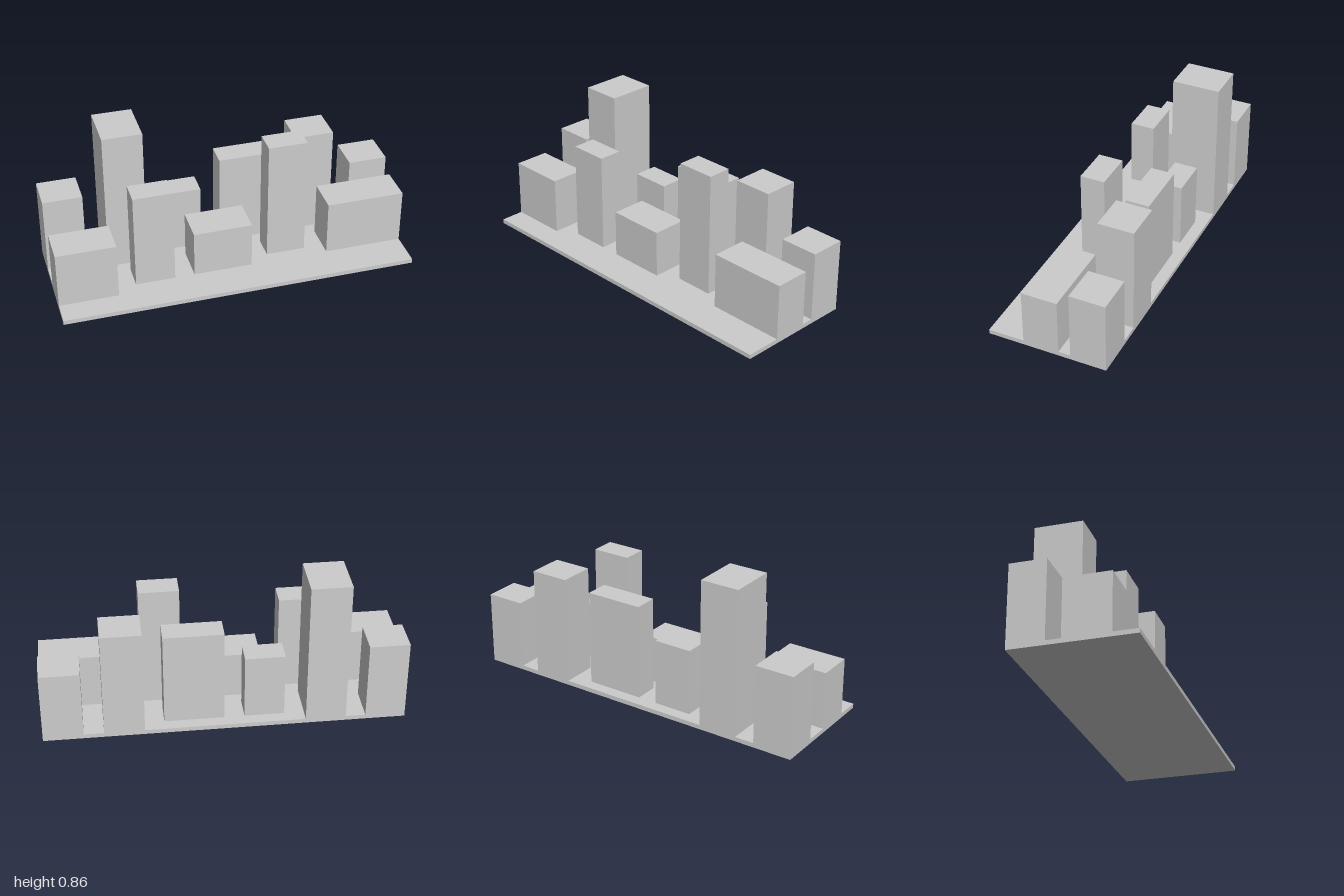
import * as THREE from 'three';

const BASE_TOP = 0.025;
const DEPTH = 0.34;

// Each block: [x min, x max, z min, z max, roof height]
const BACK_ROW = [
  [-1, -0.778, -DEPTH, -0.136, 0.473],
  [-0.667, -0.444, -DEPTH, -0.068, 0.86],
  [-0.333, -0.111, -0.272, -0.136, 0.402],
  [0, 0.333, -0.272, -0.136, 0.57],
  [0.444, 0.667, -DEPTH, -0.136, 0.642],
  [0.778, 1, -DEPTH, -0.136, 0.418],
];
const FRONT_ROW = [
  [-1, -0.667, 0, 0.204, 0.353],
  [-0.556, -0.333, 0, 0.136, 0.591],
  [-0.222, 0.111, -0.068, 0.136, 0.295],
  [0.222, 0.444, -0.068, 0.068, 0.734],
  [0.556, 1, -0.068, 0.136, 0.343],
];

export function createModel() {
  const model = new THREE.Group();
  model.name = 'cityBlock';
  const material = new THREE.MeshStandardMaterial({ color: 0xcccccc });

  // Box spanning the given limits
  function addBox(parent, name, x0, x1, y0, y1, z0, z1) {
    const mesh = new THREE.Mesh(new THREE.BoxGeometry(x1 - x0, y1 - y0, z1 - z0), material);
    mesh.position.set((x0 + x1) / 2, (y0 + y1) / 2, (z0 + z1) / 2);
    mesh.name = name;
    parent.add(mesh);
  }

  // Ground slab
  addBox(model, 'groundSlab', -1, 1, 0, BASE_TOP, -DEPTH, DEPTH);

  // Two staggered rows of buildings
  for (const [name, row] of [['backBuilding', BACK_ROW], ['frontBuilding', FRONT_ROW]]) {
    const group = new THREE.Group();
    group.name = name + 's';
    row.forEach(([x0, x1, z0, z1, top], i) =>
      addBox(group, name + (i + 1), x0, x1, BASE_TOP, top, z0, z1));
    model.add(group);
  }

  return model;
}
